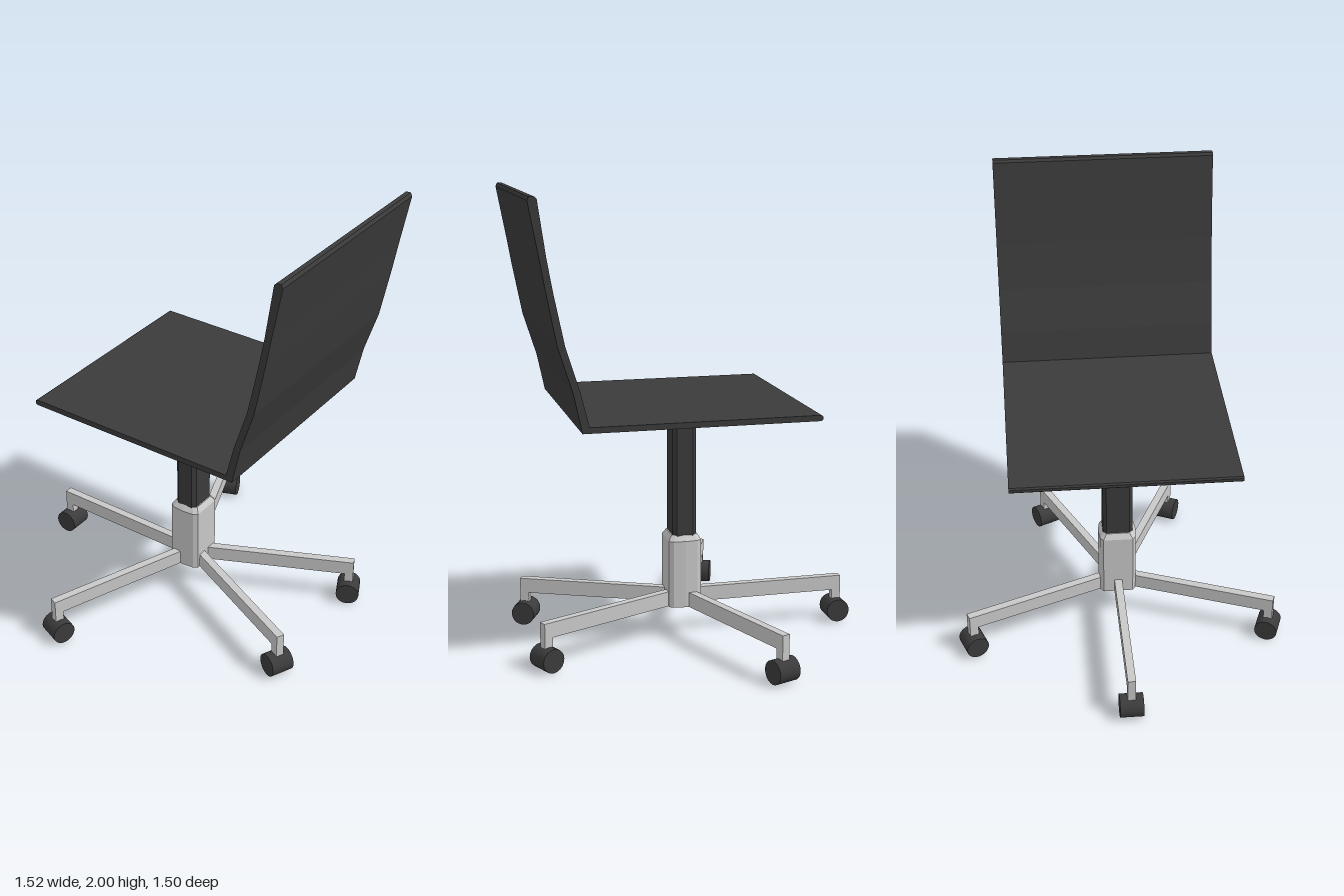
import * as THREE from 'three';

const dark = new THREE.MeshStandardMaterial({ color: 0x3b3b3b });
dark.name = 'charcoal';
const silver = new THREE.MeshStandardMaterial({ color: 0xc8c8c8 });
silver.name = 'silver';

const AXIS_X = 0.022; // the column stands slightly off centre

function part(name, geometry, material) {
  const mesh = new THREE.Mesh(geometry, material);
  mesh.name = name;
  return mesh;
}

function outline(points) {
  return new THREE.Shape(points.map(([x, y]) => new THREE.Vector2(x, y)));
}

// Mirrors one quarter of a cross-section (from +x towards +z) into a closed loop
function mirrorQuarter(quarter) {
  const back = [...quarter].reverse().map(([x, z]) => [-x, z]);
  const half = quarter.concat(back.filter(([x]) => Math.abs(x) > 1e-6));
  return half.concat([...half].reverse().map(([x, z]) => [x, -z]));
}

// Upright faceted prism, its top scaled by taper
function prism(quarter, y0, y1, taper = 1) {
  const g = new THREE.ExtrudeGeometry(outline(mirrorQuarter(quarter)), { depth: y1 - y0, bevelEnabled: false });
  g.rotateX(-Math.PI / 2).translate(0, y0, 0);
  const p = g.attributes.position;
  for (let i = 0; i < p.count; i++) {
    if (p.getY(i) > (y0 + y1) / 2) {
      p.setX(i, p.getX(i) * taper);
      p.setZ(i, p.getZ(i) * taper);
    }
  }
  g.computeVertexNormals();
  return g;
}

// Side profile extruded across the width of the chair
function panel(points, width) {
  const g = new THREE.ExtrudeGeometry(outline(points), { depth: width, bevelEnabled: false });
  return g.translate(0, 0, -width / 2);
}

// One spoke along +x with its stem and roller
function createSpoke(angle) {
  const spoke = new THREE.Group();
  spoke.name = 'spoke';
  spoke.rotation.y = -angle;

  const arm = part('arm', new THREE.BoxGeometry(0.752, 0.067, 0.036), silver);
  arm.position.set(0.376, 0.178, 0);

  const stem = part('casterStem', new THREE.BoxGeometry(0.04, 0.07, 0.036), silver);
  stem.position.set(0.732, 0.112, 0);

  const roller = part('caster', new THREE.CylinderGeometry(0.0525, 0.0525, 0.105, 20), dark);
  roller.rotation.x = Math.PI / 2;
  roller.position.set(0.732, 0.0525, 0);

  spoke.add(arm, stem, roller);
  return spoke;
}

export function createModel() {
  const chair = new THREE.Group();
  chair.name = 'swivelChair';

  // Five-spoke base and central column
  const base = new THREE.Group();
  base.name = 'base';
  base.position.x = AXIS_X;
  for (const degrees of [25, 111, 180, 249, 335]) {
    base.add(createSpoke(THREE.MathUtils.degToRad(degrees)));
  }
  const hubSection = [[0.074, 0.068], [0.054, 0.082], [0, 0.0875]];
  base.add(
    part('hub', prism(hubSection, 0.145, 0.45), silver),
    part('hubCollar', prism(hubSection, 0.45, 0.475, 0.78), silver),
    part('column', prism([[0.053, 0.053], [0.036, 0.068]], 0.46, 1.06), dark),
  );
  chair.add(base);

  // Thin seat with a softened front edge
  chair.add(part('seat', panel([
    [-0.458, 1.055], [0.55, 1.055], [0.536, 1.08], [-0.458, 1.08], [-0.465, 1.074], [-0.465, 1.061],
  ], 0.978), dark));

  // Curved backrest
  chair.add(part('backrest', panel([
    [0.55, 1.055], [0.585, 1.22], [0.645, 1.41], [0.688, 1.63], [0.711, 1.76],
    [0.753, 1.985], [0.746, 2.0], [0.725, 2.0], [0.715, 1.99],
    [0.682, 1.76], [0.657, 1.62], [0.614, 1.41], [0.555, 1.22], [0.518, 1.07],
  ], 0.978), dark));

  return chair;
}
